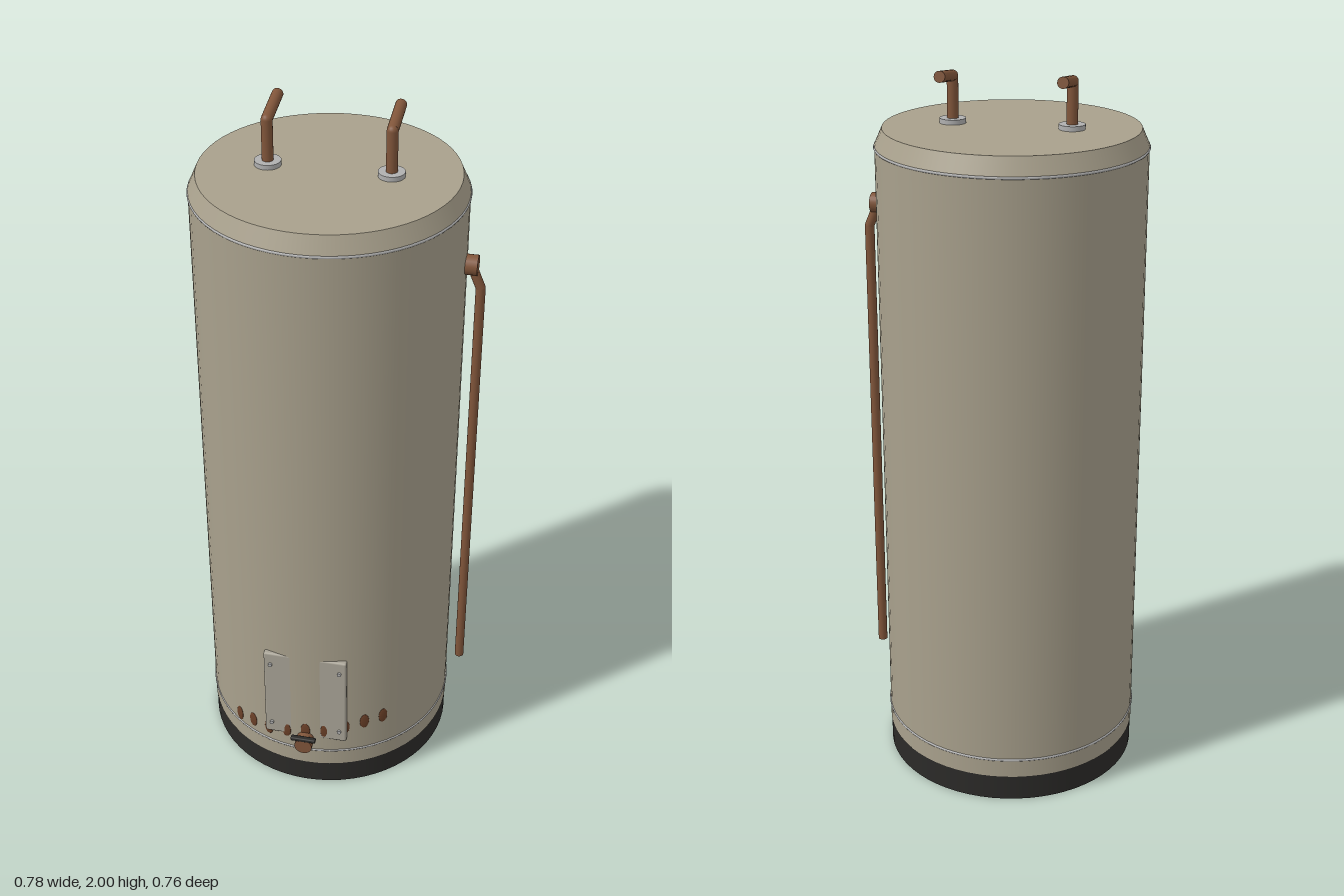
import * as THREE from 'three';
import { RoundedBoxGeometry } from 'three/addons/geometries/RoundedBoxGeometry.js';

const R = 0.36; // tank radius
const mat = (color) => new THREE.MeshStandardMaterial({ color });

export function createModel() {
  const model = new THREE.Group();
  const tank = new THREE.Group();
  tank.name = 'waterHeater';
  tank.position.set(-0.027, 0, -0.02); // tank axis
  model.add(tank);

  const enamel = mat(0xa8a08c), dark = mat(0x2b2a28), copper = mat(0x80553a);
  const steel = mat(0xb0b0b0), rust = mat(0x6b4028), panel = mat(0xa8a396);

  const add = (name, geometry, material, x = 0, y = 0, z = 0, parent = tank) => {
    const mesh = new THREE.Mesh(geometry, material);
    mesh.name = name;
    mesh.position.set(x, y, z);
    parent.add(mesh);
    return mesh;
  };
  // cylinder or cone standing between two heights
  const drum = (name, r0, r1, y0, y1, material, x = 0, z = 0, sides = 64) =>
    add(name, new THREE.CylinderGeometry(r1, r0, y1 - y0, sides), material, x, (y0 + y1) / 2, z);
  // round pipe along straight runs, with a ball at each bend
  const pipe = (name, points, r) => {
    const group = new THREE.Group();
    group.name = name;
    tank.add(group);
    const up = new THREE.Vector3(0, 1, 0);
    const pts = points.map((p) => new THREE.Vector3(...p));
    for (let i = 1; i < pts.length; i++) {
      const dir = pts[i].clone().sub(pts[i - 1]);
      const mid = pts[i].clone().add(pts[i - 1]).multiplyScalar(0.5);
      const run = add('pipeRun', new THREE.CylinderGeometry(r, r, dir.length(), 20), copper, mid.x, mid.y, mid.z, group);
      run.quaternion.setFromUnitVectors(up, dir.normalize());
      if (i < pts.length - 1) add('pipeBend', new THREE.SphereGeometry(r, 20, 12), copper, ...points[i], group);
    }
  };

  // Tank shell
  drum('base', R - 0.002, R - 0.002, 0, 0.075, dark);
  drum('body', R, R, 0.075, 1.8, enamel);
  drum('topBevel', R, 0.34, 1.8, 1.845, enamel);
  for (const y of [0.13, 1.795]) {
    const seam = add('seamRing', new THREE.TorusGeometry(R - 0.001, 0.004, 8, 64), steel, 0, y, 0);
    seam.rotation.x = Math.PI / 2;
  }

  // Inlet and outlet pipes on the lid
  for (const x of [-0.16, 0.16]) {
    drum('pipeFlange', 0.035, 0.035, 1.843, 1.858, steel, x, 0, 32);
    pipe('waterPipe', [[x, 1.845, 0], [x, 1.968, 0], [x, 1.986, -0.12]], 0.015);
  }

  // Relief valve and its long discharge pipe
  const valve = add('reliefValve', new THREE.CylinderGeometry(0.027, 0.027, 0.05, 24), copper, 0.366, 1.615, 0);
  valve.rotation.z = Math.PI / 2;
  pipe('dischargePipe', [[0.375, 1.61, 0], [0.4, 1.55, 0], [0.4, 0.26, 0]], 0.013);

  // Access plate: a flat plate partly sunk into the curved shell
  add('accessPlate', new RoundedBoxGeometry(0.242, 0.31, 0.02, 3, 0.006), panel, 0, 0.335, 0.347);
  for (const x of [-0.101, 0.101])
    for (const y of [0.22, 0.45]) {
      const screw = add('plateScrew', new THREE.CylinderGeometry(0.006, 0.006, 0.012, 12), steel, x, y, 0.357);
      screw.rotation.x = Math.PI / 2;
    }

  // Rust spots around the lower front
  for (let i = 0; i < 9; i++) {
    const a = THREE.MathUtils.degToRad((i - 4) * 9.3);
    const y = 0.162 + i * 0.0104 + 0.004 * Math.sin(i * 2.1);
    const spot = add('rustSpot', new THREE.SphereGeometry(1, 16, 10), rust, Math.sin(a) * R, y, Math.cos(a) * R);
    spot.scale.set(0.014, 0.026, 0.003);
    spot.rotation.y = a;
  }

  // Drain valve with bar handle
  const drain = add('drainValve', new THREE.CylinderGeometry(0.026, 0.026, 0.055, 24), copper, 0, 0.173, 0.367);
  drain.rotation.x = Math.PI / 2;
  add('drainHandle', new RoundedBoxGeometry(0.074, 0.012, 0.016, 2, 0.004), dark, 0, 0.2, 0.39);

  return model;
}
